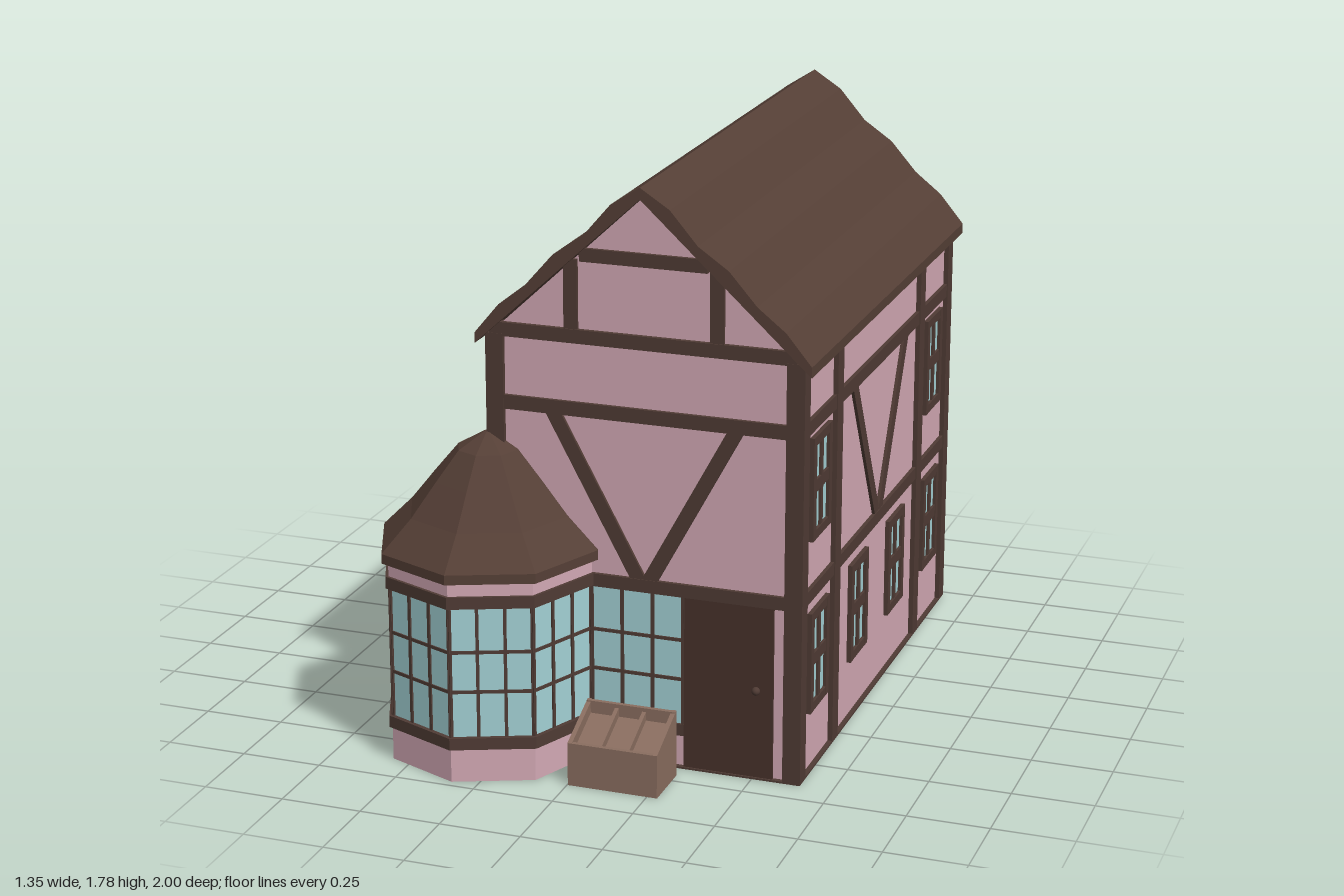
import * as THREE from 'three';

const mat = (name, color, side = THREE.FrontSide) => {
  const m = new THREE.MeshStandardMaterial({ color, side });
  m.name = name;
  return m;
};

export function createModel() {
  const plaster = mat('pink plaster', 0xd2a8b4, THREE.DoubleSide);
  const timber = mat('dark timber', 0x4f3b34);
  const roofing = mat('brown roofing', 0x553f36);
  const doorWood = mat('door wood', 0x46312b);
  const glass = mat('pale blue glass', 0xa2d0d4, THREE.DoubleSide);
  const crateWood = mat('crate wood', 0x896d5f);

  const house = new THREE.Group();
  house.name = 'timberedHouse';

  const add = (parent, name, geo, material) => {
    const m = new THREE.Mesh(geo, material);
    m.name = name;
    parent.add(m);
    return m;
  };
  const group = (parent, name, x, y, z, ry = 0) => {
    const g = new THREE.Group();
    g.name = name;
    g.position.set(x, y, z);
    g.rotation.y = ry;
    parent.add(g);
    return g;
  };
  // box given by its limits
  const box = (parent, name, material, x0, x1, y0, y1, z0, z1) => {
    const m = add(parent, name, new THREE.BoxGeometry(x1 - x0, y1 - y0, z1 - z0), material);
    m.position.set((x0 + x1) / 2, (y0 + y1) / 2, (z0 + z1) / 2);
    return m;
  };
  const flat = (geo) => {
    const g = geo.index ? geo.toNonIndexed() : geo;
    g.computeVertexNormals();
    return g;
  };
  const extrude = (pts, depth) => new THREE.ExtrudeGeometry(
    new THREE.Shape(pts.map(([x, y]) => new THREE.Vector2(x, y))), { depth, bevelEnabled: false });
  const octagon = (pts) => flat(new THREE.LatheGeometry(pts.map(([r, y]) => new THREE.Vector2(r, y)), 8));

  // ---- plaster body with gables, floor and rippled roof
  const CX = 0.16;
  add(house, 'plasterBody',
    extrude([[-0.475, 0.004], [0.475, 0.004], [0.475, 1.3], [0, 1.745], [-0.475, 1.3]], 1.61), plaster)
    .position.set(CX, 0, -0.965);
  box(house, 'floor', timber, -0.33, 0.65, 0, 0.006, -0.98, 0.66);

  const slope = [[0.09, 1.722], [0.174, 1.624], [0.267, 1.56], [0.352, 1.463], [0.438, 1.395], [0.515, 1.302]];
  const roofLine = [
    [0, 1.745], [0.515, 1.27], ...slope.slice().reverse(), [0, 1.78],
    ...slope.map(([x, y]) => [-x, y]), [-0.515, 1.27],
  ];
  add(house, 'roof', extrude(roofLine, 1.68), roofing).position.set(CX, 0, -1);

  // ---- corner posts
  for (const x of [-0.33, 0.595])
    for (const z of [-0.98, 0.605])
      box(house, 'cornerPost', timber, x, x + 0.055, 0, 1.3, z, z + 0.055);

  // ---- wall frames: local x runs along the wall, local z points outwards
  const walls = {
    front: group(house, 'frontWall', CX, 0, 0.645),
    back: group(house, 'backWall', CX, 0, -0.965, Math.PI),
    right: group(house, 'leftWall', 0.635, 0, -0.16, Math.PI / 2),
    left: group(house, 'rightWall', -0.315, 0, -0.16, -Math.PI / 2),
  };
  const beam = (w, name, x0, x1, y0, y1, out = 0.012) => box(w, name, timber, x0, x1, y0, y1, -0.015, out);

  const brace = (w) => {
    for (const s of [-1, 1]) {
      const top = [s * 0.29, 1.09], foot = [s * 0.012, 0.575], h = 0.025;
      const pts = [[foot[0] - h, foot[1]], [foot[0] + h, foot[1]], [top[0] + h, top[1]], [top[0] - h, top[1]]];
      add(w, 'diagonalBrace', extrude(pts, 0.025), timber).position.z = s > 0 ? -0.015 : -0.0155;
    }
  };

  for (const [key, w] of Object.entries(walls)) {
    const gable = key === 'front' || key === 'back';
    const half = gable ? 0.46 : 0.79;
    beam(w, 'upperBeam', -half, half, 1.07, 1.113);
    beam(w, 'middleBeam', -half, half, 0.547, 0.587);
    brace(w);
    if (gable) {
      beam(w, 'gableBeam', -0.478, 0.478, 1.293, 1.335, 0.014);
      beam(w, 'collarBeam', -0.195, 0.195, 1.54, 1.58);
      for (const x of [-0.224, 0.224]) beam(w, 'gablePost', x - 0.021, x + 0.021, 1.33, 1.545, 0.011);
    } else {
      for (const x of [-0.46, 0.455]) beam(w, 'wallPost', x - 0.029, x + 0.029, 0, 1.3, 0.015);
    }
  }
  for (const x of [-0.224, 0.224]) beam(walls.back, 'lowerPost', x - 0.024, x + 0.024, 0, 0.55, 0.011);

  // ---- four-pane windows
  const sideWindow = (w, x, y) => {
    const g = group(w, 'window', x, y, 0);
    box(g, 'windowGlass', glass, -0.08, 0.08, 0.01, 0.31, -0.003, 0.004);
    for (const s of [-1, 1]) {
      beam(g, 'frameSide', s * 0.077 - 0.014, s * 0.077 + 0.014, 0, 0.318, 0.014);
      beam(g, 'frameRail', -0.091, 0.091, 0.159 + s * 0.145 - 0.014, 0.159 + s * 0.145 + 0.014, 0.0135);
    }
    beam(g, 'windowMullion', -0.011, 0.011, 0.01, 0.31, 0.011);
    beam(g, 'windowTransom', -0.08, 0.08, 0.145, 0.182, 0.012);
  };
  for (const x of [-0.625, -0.207, 0.207, 0.625]) sideWindow(walls.right, x, 0.187);
  for (const x of [-0.625, 0.625]) sideWindow(walls.right, x, 0.73);
  for (const y of [0.187, 0.73]) sideWindow(walls.left, -0.625, y);

  // ---- doors
  const door = (w, x0, x1, knobX) => {
    box(w, 'door', doorWood, x0, x1, 0.004, 0.55, -0.015, 0.01);
    add(w, 'doorKnob', new THREE.SphereGeometry(0.013, 12, 8), timber).position.set(knobX, 0.285, 0.018);
  };
  door(walls.front, 0.125, 0.402, 0.352);
  door(walls.left, -0.13, 0.12, 0.08);

  // ---- shop glazing: thin bars across a panel
  const glazingBars = (g, x0, x1, columns, z) => {
    for (let i = 0; i <= columns; i++) {
      const x = x0 + (x1 - x0) * i / columns;
      box(g, 'glazingBar', timber, x - 0.005, x + 0.005, 0.14, 0.55, z - 0.008, z + 0.005);
    }
    for (const y of [0.285, 0.41])
      box(g, 'glazingRail', timber, x0, x1, y - 0.005, y + 0.005, z - 0.008, z + 0.004);
  };
  box(walls.front, 'shopWindow', glass, -0.2, 0.125, 0.14, 0.55, -0.003, 0.004);
  glazingBars(walls.front, -0.165, 0.122, 3, 0.005);
  beam(walls.front, 'shopSill', -0.2, 0.125, 0.105, 0.142);

  // ---- eight-sided corner bay, open underneath
  const bay = group(house, 'cornerBay', -0.33, 0, 0.65);
  add(bay, 'bayBase', octagon([[0.325, 0], [0.325, 0.11]]), plaster);
  add(bay, 'bayGlass', octagon([[0.32, 0.13], [0.32, 0.56]]), glass);
  add(bay, 'bayFrieze', octagon([[0.325, 0.58], [0.325, 0.64]]), plaster);
  for (const y of [0.105, 0.55])
    add(bay, 'bayBand', octagon([[0.31, y], [0.335, y], [0.335, y + 0.037], [0.31, y + 0.037], [0.31, y]]), timber);
  add(bay, 'bayRoof', octagon([[0, 0.63], [0.345, 0.63], [0.345, 0.66], [0.25, 0.755],
    [0.17, 0.855], [0.095, 0.945], [0, 1.0]]), roofing);
  const apothem = 0.32 * Math.cos(Math.PI / 8), halfSide = 0.32 * Math.sin(Math.PI / 8);
  for (let i = 0; i < 8; i++) {
    const face = group(bay, 'bayGlazing', 0, 0, 0, (i + 0.5) * Math.PI / 4);
    glazingBars(face, -halfSide, halfSide, 3, apothem);
  }

  // ---- display crate with a sloping, divided top
  const crate = group(house, 'displayCrate', 0.142, 0, 0.795);
  const panel = (name, x, width, drop) => {
    const g = extrude([[-0.085, 0], [0.085, 0], [0.085, 0.21 - drop], [-0.085, 0.135 - drop]], width);
    const m = add(crate, name, g, crateWood);
    m.rotation.y = Math.PI / 2;
    m.position.x = x - width / 2;
  };
  panel('crateBody', 0, 0.27, 0.035);
  for (const x of [-0.133, 0.133]) panel('crateSide', x, 0.014, 0);
  for (const x of [-0.043, 0.043]) panel('crateDivider', x, 0.012, 0.008);
  box(crate, 'crateFront', crateWood, -0.139, 0.139, 0, 0.135, 0.072, 0.086);
  box(crate, 'crateBack', crateWood, -0.139, 0.139, 0, 0.208, -0.086, -0.072);

  return house;
}
